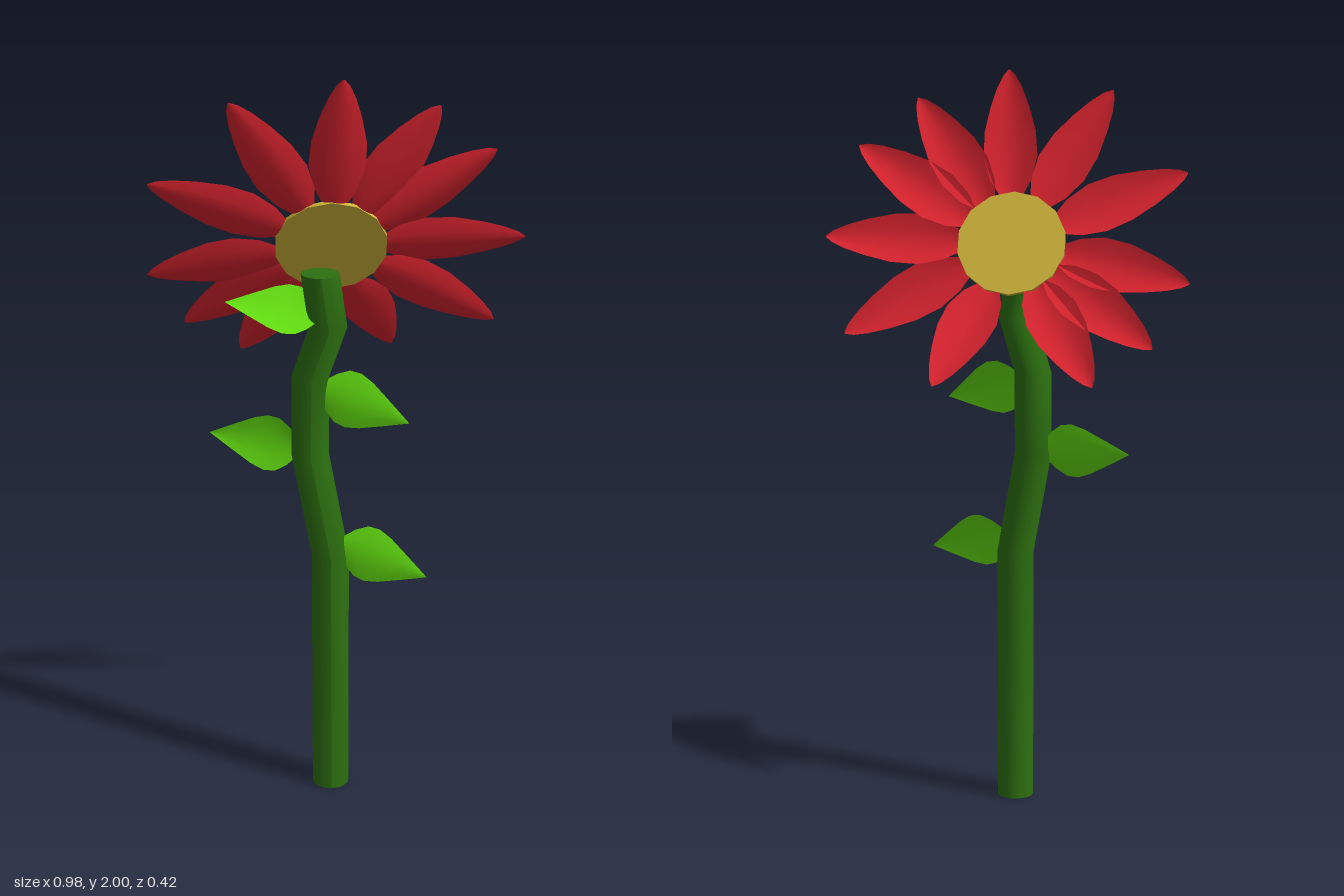
import * as THREE from 'three';

const V = (x, y, z) => new THREE.Vector3(x, y, z);
const paint = (color) => new THREE.MeshStandardMaterial({ color, side: THREE.DoubleSide });

// Half-widths along a blade: [position 0..1, half-width]
const PETAL = [[0, 0.03], [0.12, 0.055], [0.3, 0.072], [0.5, 0.069], [0.7, 0.052], [0.85, 0.034], [0.95, 0.017], [1, 0.002]];
const LEAF = [[0, 0.025], [0.1, 0.052], [0.22, 0.072], [0.35, 0.075], [0.5, 0.063], [0.75, 0.032], [1, 0]];

// Thin pointed blade from base to tip, its rim lifted by `cup` along its face normal
function blade(base, tip, across, profile, cup) {
  const along = tip.clone().sub(base).normalize();
  const side = across.clone().addScaledVector(along, -across.dot(along)).normalize();
  const normal = side.clone().cross(along);
  const widest = Math.max(...profile.map((p) => p[1]));
  const pos = [], index = [], cols = 5;
  profile.forEach(([t, w], i) => {
    for (let j = 0; j < cols; j++) {
      const s = j / 2 - 1;
      const p = base.clone().lerp(tip, t)
        .addScaledVector(side, s * w)
        .addScaledVector(normal, cup * (s * s - 0.5) * w / widest);
      pos.push(p.x, p.y, p.z);
      if (i && j) {
        const d = i * cols + j, c = d - 1, b = d - cols, a = b - 1;
        index.push(a, b, d, a, d, c);
      }
    }
  });
  const geo = new THREE.BufferGeometry();
  geo.setAttribute('position', new THREE.Float32BufferAttribute(pos, 3));
  geo.setIndex(index);
  geo.computeVertexNormals();
  return geo;
}

export function createModel() {
  const model = new THREE.Group();
  model.name = 'flower';
  const add = (name, geo, mat, parent = model) => {
    const mesh = new THREE.Mesh(geo, mat);
    mesh.name = name;
    parent.add(mesh);
    return mesh;
  };

  // Bent stem: each ring of a cylinder is moved to [x, y, z]
  const rings = [[-0.02, 0, 0.095], [-0.02, 0.7, 0.095], [-0.072, 0.98, 0.06], [-0.07, 1.2, 0.063], [-0.025, 1.34, 0.088], [-0.045, 1.485, 0.087]];
  const n = rings.length - 1;
  const stem = new THREE.CylinderGeometry(0.05, 0.05, 1, 16, n);
  const sp = stem.attributes.position;
  for (let i = 0; i < sp.count; i++) {
    const [x, y, z] = rings[Math.round((sp.getY(i) + 0.5) * n)];
    sp.setXYZ(i, sp.getX(i) + x, y, sp.getZ(i) + z);
  }
  stem.computeVertexNormals();
  add('stem', stem, paint(0x2c7010));

  // Leaves: base, tip, direction across the blade
  const leafMat = paint(0x62dc10);
  [
    [V(0.01, 0.735, 0.11), V(0.23, 0.68, 0.21), V(0.2, 1, -0.15)],
    [V(-0.04, 1.17, 0.085), V(0.18, 1.11, 0.19), V(0.2, 1, -0.15)],
    [V(-0.105, 0.99, 0.045), V(-0.34, 1.0, -0.055), V(0, 1, -0.2)],
    [V(-0.05, 1.38, 0.1), V(-0.29, 1.41, 0.08), V(0, 0.65, -0.76)],
  ].forEach(([base, tip, across]) => add('leaf', blade(base, tip, across, LEAF, 0.012), leafMat));

  // Flower head: tilted upward and toward the back
  const head = new THREE.Group();
  head.name = 'flowerHead';
  model.add(head);
  const centre = V(-0.015, 1.545, 0.04);
  const facing = V(0, 0.435, -0.9).normalize();

  const disc = add('flowerCentre', new THREE.CylinderGeometry(0.146, 0.146, 0.012, 14), paint(0xcdb33a), head);
  disc.position.copy(centre);
  disc.quaternion.setFromUnitVectors(V(0, 1, 0), facing);

  // Petals run from the rim of the disc to these tips
  const petalMat = paint(0xd9232e);
  [
    [0.01, 2.0, 0.19], [0.25, 1.925, 0.14], [0.4, 1.8, 0.08], [0.485, 1.56, 0.035],
    [0.42, 1.31, -0.05], [0.16, 1.195, -0.205], [-0.25, 1.195, -0.175], [-0.4, 1.29, -0.125],
    [-0.49, 1.45, -0.035], [-0.475, 1.73, 0.12], [-0.27, 1.945, 0.185],
  ].forEach((t) => {
    const tip = V(...t);
    const radial = tip.clone().sub(centre).projectOnPlane(facing).normalize();
    const base = centre.clone().addScaledVector(radial, 0.135);
    const across = radial.clone().cross(facing);
    add('petal', blade(base, tip, across, PETAL, 0.022), petalMat, head);
  });

  return model;
}
